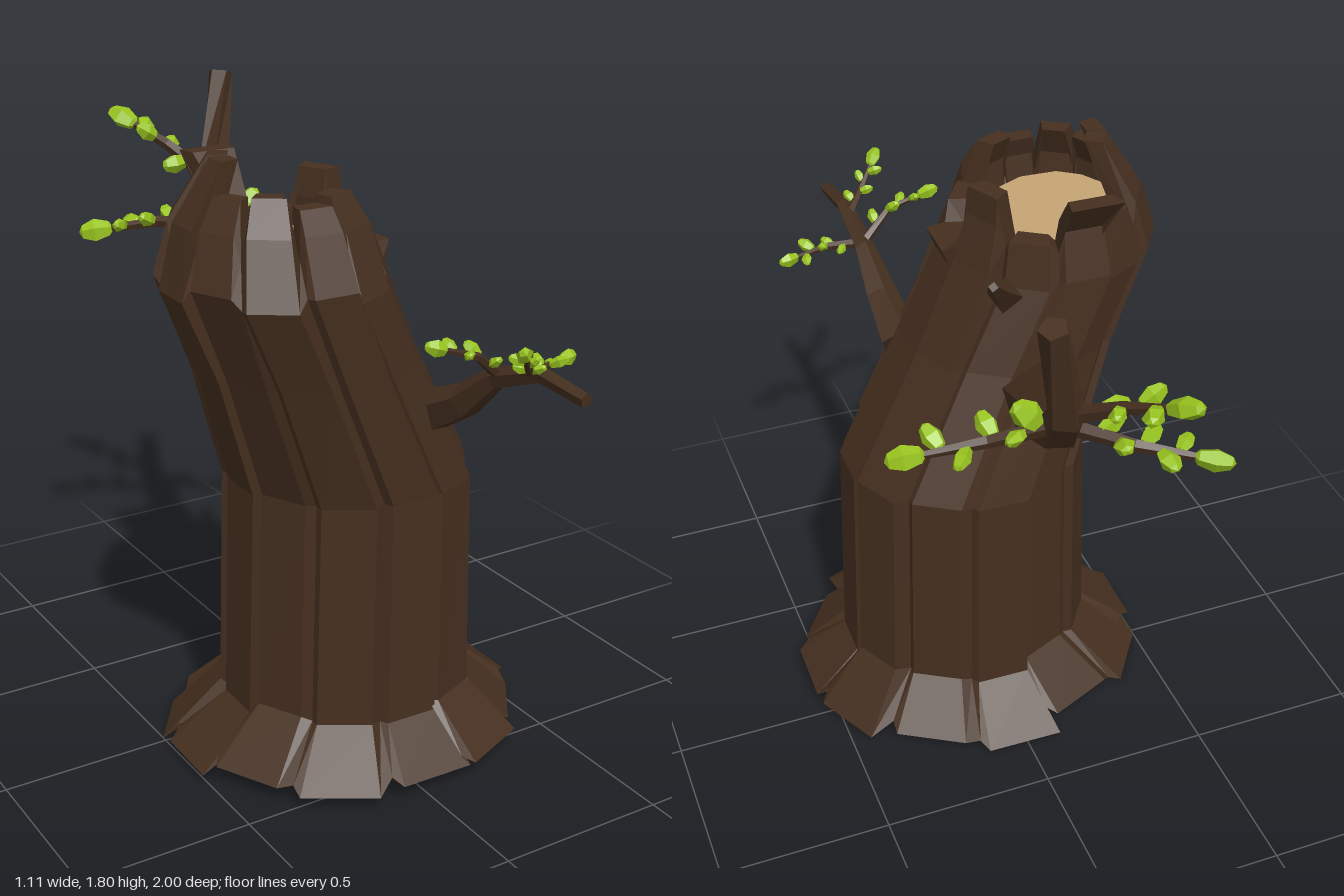
import * as THREE from 'three';
import { mergeGeometries } from 'three/addons/utils/BufferGeometryUtils.js';

const V = (x, y, z) => new THREE.Vector3(x, y, z);
const mat = (color) => new THREE.MeshStandardMaterial({ color, flatShading: true, side: THREE.DoubleSide });
const bark = mat(0x452f1f), wood = mat(0xc4a474), green = mat(0x98c41e);

let seed = 7;
const rand = () => (seed = (seed * 16807) % 2147483647) / 2147483647;

// Skin a list of equal-length closed rings, optionally closing both ends
function loft(rings, capStart, capEnd) {
  const pos = [];
  const tri = (...p) => p.forEach((q) => pos.push(q.x, q.y, q.z));
  const n = rings[0].length;
  const centre = (r) => r.reduce((s, p) => s.add(p), V(0, 0, 0)).divideScalar(n);
  for (let i = 0; i < rings.length - 1; i++) {
    for (let j = 0; j < n; j++) {
      const k = (j + 1) % n, a = rings[i], b = rings[i + 1];
      tri(a[j], b[j], a[k]);
      tri(a[k], b[j], b[k]);
    }
  }
  const first = rings[0], last = rings[rings.length - 1];
  for (let j = 0; j < n; j++) {
    const k = (j + 1) % n;
    if (capStart) tri(centre(first), first[j], first[k]);
    if (capEnd) tri(centre(last), last[k], last[j]);
  }
  const g = new THREE.BufferGeometry();
  g.setAttribute('position', new THREE.Float32BufferAttribute(pos, 3));
  g.computeVertexNormals();
  return g;
}

function add(parent, name, geometry, material) {
  const m = new THREE.Mesh(geometry, material);
  m.name = name;
  parent.add(m);
  return m;
}

// Tapered angular limb through a few points
function limb(points, radii, sides = 5) {
  const rings = points.map((p, i) => {
    const t = points[Math.min(i + 1, points.length - 1)].clone().sub(points[Math.max(i - 1, 0)]).normalize();
    const ref = Math.abs(t.y) > 0.9 ? V(0, 0, 1) : V(0, 1, 0);
    const u = ref.addScaledVector(t, -ref.dot(t)).normalize();
    const v = u.clone().cross(t);
    return Array.from({ length: sides }, (_, j) => {
      const a = (j / sides) * Math.PI * 2;
      return p.clone().addScaledVector(u, Math.cos(a) * radii[i]).addScaledVector(v, Math.sin(a) * radii[i]);
    });
  });
  return loft(rings, true, true);
}

// Plump faceted leaf growing from p along d
function leaf(p, d, length) {
  const profile = [[0, 0], [0.22, 0.15], [0.34, 0.55], [0.2, 0.9], [0, 1]].map(([x, y]) => new THREE.Vector2(x, y));
  const g = new THREE.LatheGeometry(profile, 5).scale(length, length, length * 0.8);
  g.applyQuaternion(new THREE.Quaternion().setFromUnitVectors(V(0, 1, 0), d.clone().normalize()));
  return g.translate(p.x, p.y, p.z);
}

// Thin twig with alternating side leaves and a large leaf at its tip
function twig(parent, name, points, radius, size, count) {
  const g = new THREE.Group();
  g.name = name;
  parent.add(g);
  add(g, 'stem', limb(points, points.map((_, i) => radius * (1 - 0.28 * i)), 5), bark);
  const curve = new THREE.CatmullRomCurve3(points);
  const leaves = [leaf(curve.getPoint(0.97), curve.getTangent(1), size)];
  for (let i = 0; i < count; i++) {
    const t = 0.25 + (0.6 * i) / (count - 1);
    const d = curve.getTangent(t);
    const side = V(-d.z, 0, d.x).normalize().multiplyScalar(i % 2 ? 1 : -1);
    const dir = d.multiplyScalar(0.6).add(side).add(V(0, rand() * 1.2 - 0.4, 0));
    leaves.push(leaf(curve.getPoint(t), dir, size * (0.62 + rand() * 0.25)));
  }
  add(g, 'leaves', mergeGeometries(leaves), green);
}

// Bark plates: radial offset, root height and broken top height, from +x towards +z
const offset = [1, 0.95, 1, 0.98, 1, 0.95, 1, 1, 0.94, 1, 0.96, 1];
const rootY = [0.05, 0.04, 0.05, 0.05, 0.04, 0.05, 0.03, 0, 0.05, 0.01, 0.04, 0.02];
const topY = [1.5, 1.56, 1.68, 1.66, 1.69, 1.68, 1.76, 1.76, 1.62, 1.71, 1.56, 1.68];
const notchY = 1.54;
const topRadius = { 0: 0.34, 9: 0.36, 11: 0.265 };

// Each plate gives two edge points and one recessed groove point
function barkRing(fn) {
  const ring = [];
  for (let i = 0; i < 12; i++) {
    for (const [da, depth, groove] of [[-13, 1, 0], [11, 0.985, 0], [14, 0.93, 1]]) {
      const a = THREE.MathUtils.degToRad(i * 30 + da + (i % 3) * 2);
      const [cx, y, cz, rx, rz] = fn(i, groove);
      const k = offset[i] * depth;
      ring.push(V(cx + Math.cos(a) * rx * k, y, cz + Math.sin(a) * rz * k));
    }
  }
  return ring;
}

export function createModel() {
  const model = new THREE.Group();
  model.name = 'treeStump';

  // Trunk: flared roots, straight shaft, leaning neck, jagged hollow rim with teeth curling inward
  const rim = (i, groove, inset, limit) => {
    const h = Math.min(topY[i], limit, groove ? notchY : 2);
    const curl = 0.315 - (h - 1.45) * 0.3 - Math.max(0, h - 1.6) * 0.35;
    const r = (groove || h < topY[i] ? curl : topRadius[i] ?? curl) - inset;
    return [-0.24, h, 0.195, r, r];
  };
  const rings = [
    barkRing(() => [0.02, 0.045, 0.15, 0.5, 0.47]),
    barkRing((i, g) => [0.02, rootY[i] + g * 0.02, 0.15, 0.55, 0.51]),
    barkRing((i) => [0.035, 0.16 + (i % 3) * 0.012, 0.145, 0.385, 0.355]),
    barkRing(() => [0.035, 0.83, 0.145, 0.365, 0.355]),
    barkRing(() => [-0.13, 1.19, 0.195, 0.32, 0.325]),
    barkRing((i) => [-0.245, 1.43 + (i % 2) * 0.03, 0.215, 0.315, 0.325]),
    barkRing((i, g) => rim(i, g, 0, 1.6)),
    barkRing((i, g) => rim(i, g, 0, 2)),
    barkRing((i, g) => rim(i, g, 0.055, 2)),
    barkRing((i, g) => rim(i, g, 0.07, 1.6)),
    barkRing(() => [-0.24, 1.5, 0.18, 0.2, 0.2]),
  ];
  add(model, 'trunk', loft(rings, true, false), bark);

  // Pale wood inside the broken top
  const core = add(model, 'heartwood', new THREE.CircleGeometry(0.2, 12).rotateX(-Math.PI / 2), wood);
  core.position.set(-0.24, 1.535, 0.175);
  core.rotation.z = -0.12;

  // Splinter leaning out of the rim
  add(model, 'splinter', limb([V(-0.04, 1.41, -0.02), V(0.01, 1.48, -0.1), V(0.05, 1.54, -0.165)], [0.05, 0.03, 0.014], 4), bark);

  // Large rear branch
  const rear = new THREE.Group();
  rear.name = 'rearBranch';
  model.add(rear);
  add(rear, 'limb', limb(
    [V(-0.15, 1.05, 0), V(-0.085, 1.17, -0.22), V(0, 1.305, -0.5), V(0.06, 1.48, -0.68), V(0.13, 1.79, -0.75)],
    [0.15, 0.105, 0.063, 0.05, 0.038]), bark);
  twig(rear, 'upperTwig', [V(0.05, 1.48, -0.68), V(-0.03, 1.57, -0.81), V(-0.09, 1.62, -0.91)], 0.025, 0.11, 4);
  twig(rear, 'rightTwig', [V(0.02, 1.36, -0.55), V(-0.12, 1.36, -0.7), V(-0.25, 1.34, -0.77)], 0.025, 0.11, 5);
  twig(rear, 'leftTwig', [V(0.03, 1.4, -0.6), V(0.2, 1.33, -0.52), V(0.36, 1.31, -0.49)], 0.025, 0.11, 4);
  add(rear, 'leaf', leaf(V(0.07, 1.37, -0.57), V(0.9, 1, 0.1), 0.12), green);

  // Small front branch
  const front = new THREE.Group();
  front.name = 'frontBranch';
  model.add(front);
  add(front, 'limb', limb(
    [V(0.13, 1.04, 0.4), V(0.14, 1.12, 0.55), V(0.15, 1.22, 0.67), V(0.16, 1.28, 0.84), V(0.17, 1.26, 1)],
    [0.065, 0.05, 0.032, 0.024, 0.02]), bark);
  twig(front, 'rightTwig', [V(0.15, 1.23, 0.68), V(0.05, 1.31, 0.72), V(-0.04, 1.34, 0.71)], 0.016, 0.07, 4);
  twig(front, 'leftTwig', [V(0.15, 1.22, 0.7), V(0.26, 1.23, 0.7), V(0.36, 1.23, 0.67)], 0.016, 0.07, 5);
  twig(front, 'outerTwig', [V(0.16, 1.27, 0.79), V(0.1, 1.31, 0.86), V(0.05, 1.36, 0.91)], 0.016, 0.07, 4);

  return model;
}
